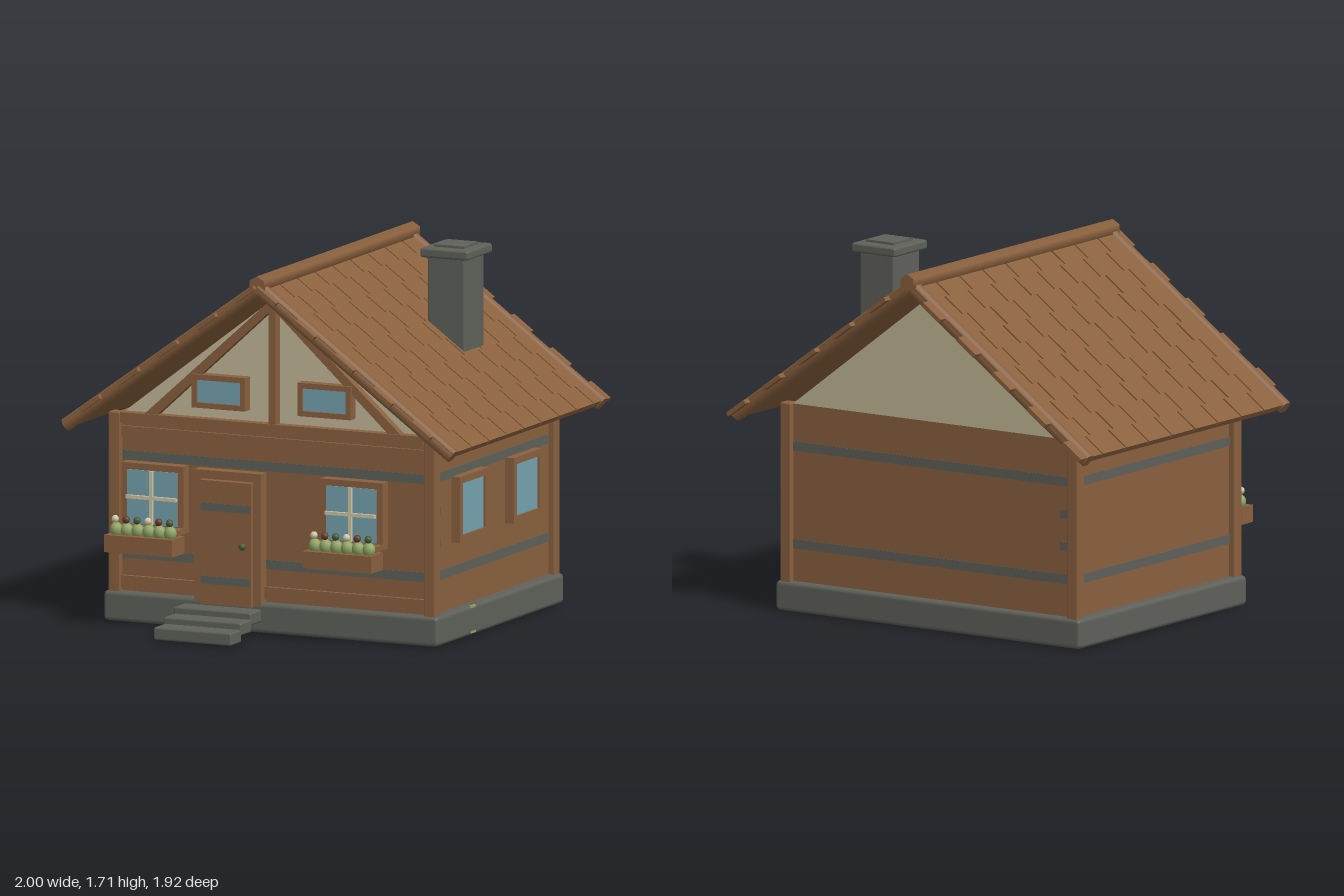
import * as THREE from 'three';
import { RoundedBoxGeometry } from 'three/addons/geometries/RoundedBoxGeometry.js';

const mat = (name, color, extra = {}) => {
  const m = new THREE.MeshStandardMaterial({ color, ...extra });
  m.name = name;
  return m;
};

export function createModel() {
  const wood = mat('wood', 0x8a613e);
  const gap = mat('shingleGap', 0x453020);
  const stone = mat('stone', 0x5f615a);
  const plaster = mat('plaster', 0xc6bb99);
  const glass = mat('glass', 0x76a4b1);
  const trim = mat('creamTrim', 0xd2c8a8);
  const leaf = mat('leaf', 0x8fa565);
  const darkLeaf = mat('darkGreen', 0x4c5a38);
  const bloom = mat('redBloom', 0x6a3a2c);

  const model = new THREE.Group();
  model.name = 'cabin';

  const add = (parent, name, geo, m, x = 0, y = 0, z = 0) => {
    const mesh = new THREE.Mesh(geo, m);
    mesh.name = name;
    mesh.position.set(x, y, z);
    parent.add(mesh);
    return mesh;
  };
  // Box given by its limits on each axis; bevel > 0 softens the edges
  const box = (parent, name, m, x0, x1, y0, y1, z0, z1, bevel = 0) => {
    const w = x1 - x0, h = y1 - y0, d = z1 - z0;
    const geo = bevel ? new RoundedBoxGeometry(w, h, d, 1, bevel) : new THREE.BoxGeometry(w, h, d);
    return add(parent, name, geo, m, (x0 + x1) / 2, (y0 + y1) / 2, (z0 + z1) / 2);
  };
  const group = (name, parent = model) => {
    const g = new THREE.Group();
    g.name = name;
    parent.add(g);
    return g;
  };

  // Foundation and floating steps
  box(model, 'foundation', stone, -0.85, 0.85, 0.01, 0.15, -0.77, 0.57, 0.02);
  for (let i = 0; i < 3; i++) {
    const z = 0.845 - i * 0.105, y = 0.013 + i * 0.031;
    box(model, 'step', stone, -0.405, -0.01, y, y + 0.06, z, z + 0.115, 0.01);
  }
  // Moss patches
  for (const [x, z] of [[0.3, 0.1], [-0.1, 0.2], [0.25, -0.4], [-0.3, -0.35]]) {
    const moss = add(model, 'moss', new THREE.CylinderGeometry(0.04, 0.04, 0.004, 8), leaf, x, 0.009, z);
    moss.scale.z = 0.6;
  }
  for (const y of [0.022, 0.14]) box(model, 'sideMoss', leaf, 0.84, 0.852, y, y + 0.01, 0.17, 0.22);

  // Walls, corner posts and the bands running round them
  box(model, 'walls', wood, -0.8, 0.8, 0.14, 0.975, -0.735, 0.525);
  for (const x of [-0.8, 0.8]) for (const z of [-0.73, 0.525]) {
    box(model, 'cornerPost', wood, x - 0.03, x + 0.03, 0.14, 0.98, z - 0.03, z + 0.03, 0.008);
  }
  for (const y of [0.302, 0.757]) {
    box(model, 'wallBand', stone, -0.803, 0.803, y, y + 0.043, -0.738, 0.528);
  }
  for (const y of [0.455, 0.605]) {
    box(model, 'sidePeg', stone, 0.8, 0.804, y, y + 0.04, 0.44, 0.5);
    box(model, 'backPeg', stone, -0.77, -0.72, y, y + 0.04, -0.739, -0.735);
  }
  box(model, 'topBeam', wood, -0.77, 0.77, 0.935, 0.98, 0.5, 0.555);
  box(model, 'upperRail', wood, -0.77, 0.77, 0.865, 0.915, 0.5, 0.54);
  box(model, 'baseBeam', wood, -0.77, 0.77, 0.165, 0.222, 0.5, 0.545);

  // Gable walls
  const tri = new THREE.Shape([
    new THREE.Vector2(-0.78, 0.97), new THREE.Vector2(0.78, 0.97), new THREE.Vector2(0, 1.565)]);
  const gableGeo = new THREE.ExtrudeGeometry(tri, { depth: 0.02, bevelEnabled: false });
  add(model, 'frontGable', gableGeo, plaster, 0, 0, 0.485);
  add(model, 'backGable', gableGeo, plaster, 0, 0, -0.735);

  // Gable timbers
  box(model, 'gablePost', wood, -0.018, 0.018, 0.97, 1.55, 0.5, 0.55);
  for (const s of [-1, 1]) {
    const brace = new THREE.Shape([
      new THREE.Vector2(s * 0.655, 0.975), new THREE.Vector2(0, 1.565),
      new THREE.Vector2(0, 1.515), new THREE.Vector2(s * 0.59, 0.975)]);
    add(model, 'gableBrace', new THREE.ExtrudeGeometry(brace, { depth: 0.045, bevelEnabled: false }),
      wood, 0, 0, 0.5);
  }

  // Window facing +z, centred on its own origin: frame ring, pane, optional cross bars
  const makeWindow = (name, w, h, border, cross) => {
    const g = group(name);
    const ring = new THREE.Shape();
    const rect = (p, a, b) => p.moveTo(-a, -b).lineTo(a, -b).lineTo(a, b).lineTo(-a, b).closePath();
    rect(ring, w / 2, h / 2);
    ring.holes.push(rect(new THREE.Path(), w / 2 - border, h / 2 - border));
    add(g, 'windowFrame', new THREE.ExtrudeGeometry(ring, { depth: 0.06, bevelEnabled: false }), wood, 0, 0, -0.03);
    const a = w / 2 - border, b = h / 2 - border;
    box(g, 'windowPane', glass, -a, a, -b, b, -0.02, cross ? 0.035 : 0.02);
    if (cross) {
      box(g, 'upright', trim, -0.008, 0.008, -b, b, 0.03, 0.05);
      box(g, 'crossbar', trim, -a, a, -0.008, 0.008, 0.03, 0.05);
    }
    return g;
  };
  for (const x of [-0.59, 0.42]) {
    makeWindow('frontWindow', 0.315, 0.31, 0.03, true).position.set(x, 0.6, 0.555);
  }
  for (const z of [0.172, -0.395]) {
    const win = makeWindow('sideWindow', 0.3, 0.305, 0.032, false);
    win.position.set(0.815, 0.61, z);
    win.rotation.y = Math.PI / 2;
  }
  for (const s of [-1, 1]) {
    makeWindow('gableWindow', 0.27, 0.155, 0.025, false).position.set(s * 0.268, 1.108, 0.53);
  }

  // Planters with flowering plants
  for (const x of [-0.588, 0.42]) {
    const g = group('planter');
    g.position.x = x;
    box(g, 'planterBox', wood, -0.173, 0.173, 0.36, 0.44, 0.61, 0.74);
    box(g, 'windowSill', wood, -0.16, 0.16, 0.445, 0.47, 0.54, 0.66);
    for (let i = 0; i < 6; i++) {
      const px = (i - 2.5) * 0.055;
      add(g, 'plant', new THREE.SphereGeometry(0.03, 10, 8), leaf, px, 0.46, 0.685).scale.y = 1.15;
      add(g, 'flower', new THREE.SphereGeometry(0.018, 8, 6),
        [trim, bloom, darkLeaf][i % 3], px, 0.51, 0.695);
    }
  }

  // Door with frame, straps and knob
  const door = group('door');
  box(door, 'jamb', wood, -0.38, -0.345, 0.14, 0.75, 0.5, 0.585);
  box(door, 'jamb', wood, -0.08, -0.04, 0.14, 0.75, 0.5, 0.585);
  box(door, 'lintel', wood, -0.345, -0.08, 0.71, 0.75, 0.5, 0.585);
  box(door, 'doorLeaf', wood, -0.34, -0.084, 0.13, 0.705, 0.52, 0.597);
  for (const y of [0.225, 0.565]) box(door, 'doorStrap', stone, -0.338, -0.086, y, y + 0.036, 0.595, 0.6);
  add(door, 'knob', new THREE.SphereGeometry(0.017, 10, 8), darkLeaf, -0.122, 0.412, 0.612);

  // Roof: each slope is built flat along local x, then tilted
  const tilt = Math.atan(0.72), courses = 10, step = 0.1207, pitch = 0.184;
  const hexBeam = (parent, name, length, r) => {
    const m = add(parent, name, new THREE.CylinderGeometry(r, r, length, 6), wood);
    return m;
  };
  for (const s of [-1, 1]) {
    const slope = group('roofSlope');
    slope.position.y = 1.632;
    slope.rotation.z = -s * tilt;
    const span = (name, m, d0, d1, y0, y1, z0, z1) =>
      box(slope, name, m, Math.min(s * d0, s * d1), Math.max(s * d0, s * d1), y0, y1, z0, z1);
    // Deck, dark on top where it shows between shingles
    span('roofDeck', [wood, wood, gap, wood, wood, wood], 0.01, 1.2, -0.02, 0.004, -0.9, 0.69);
    // Shingles in courses, every other course set back
    for (let i = 0; i < courses; i++) {
      const odd = i % 2;
      const back = odd ? -0.96 : -0.92, front = odd ? 0.705 : 0.735;
      const seam = odd ? -0.786 : -0.748;
      for (let k = 0; k < 9; k++) {
        const z0 = k ? seam + (k - 1) * pitch + 0.005 : back;
        const z1 = k < 8 ? seam + k * pitch - 0.005 : front;
        span('shingle', wood, i * step, (i + 1) * step, 0, 0.02, z0, z1);
      }
    }
    // Rake beams at both ends
    for (const z of [-0.89, 0.68]) {
      const beam = hexBeam(slope, 'rakeBeam', 1.21, 0.034);
      beam.rotation.z = Math.PI / 2;
      beam.position.set(s * 0.605, 0, z);
    }
  }
  const ridge = hexBeam(model, 'ridgeBeam', 1.64, 0.042);
  ridge.rotation.x = Math.PI / 2;
  ridge.position.set(0, 1.65, -0.11);

  // Chimney
  box(model, 'chimneyStack', stone, 0.4, 0.587, 1.18, 1.67, -0.467, -0.257, 0.008);
  box(model, 'chimneyCap', stone, 0.368, 0.615, 1.66, 1.705, -0.5, -0.237, 0.012);
  box(model, 'chimneyTop', stone, 0.415, 0.568, 1.7, 1.716, -0.445, -0.292);

  return model;
}
